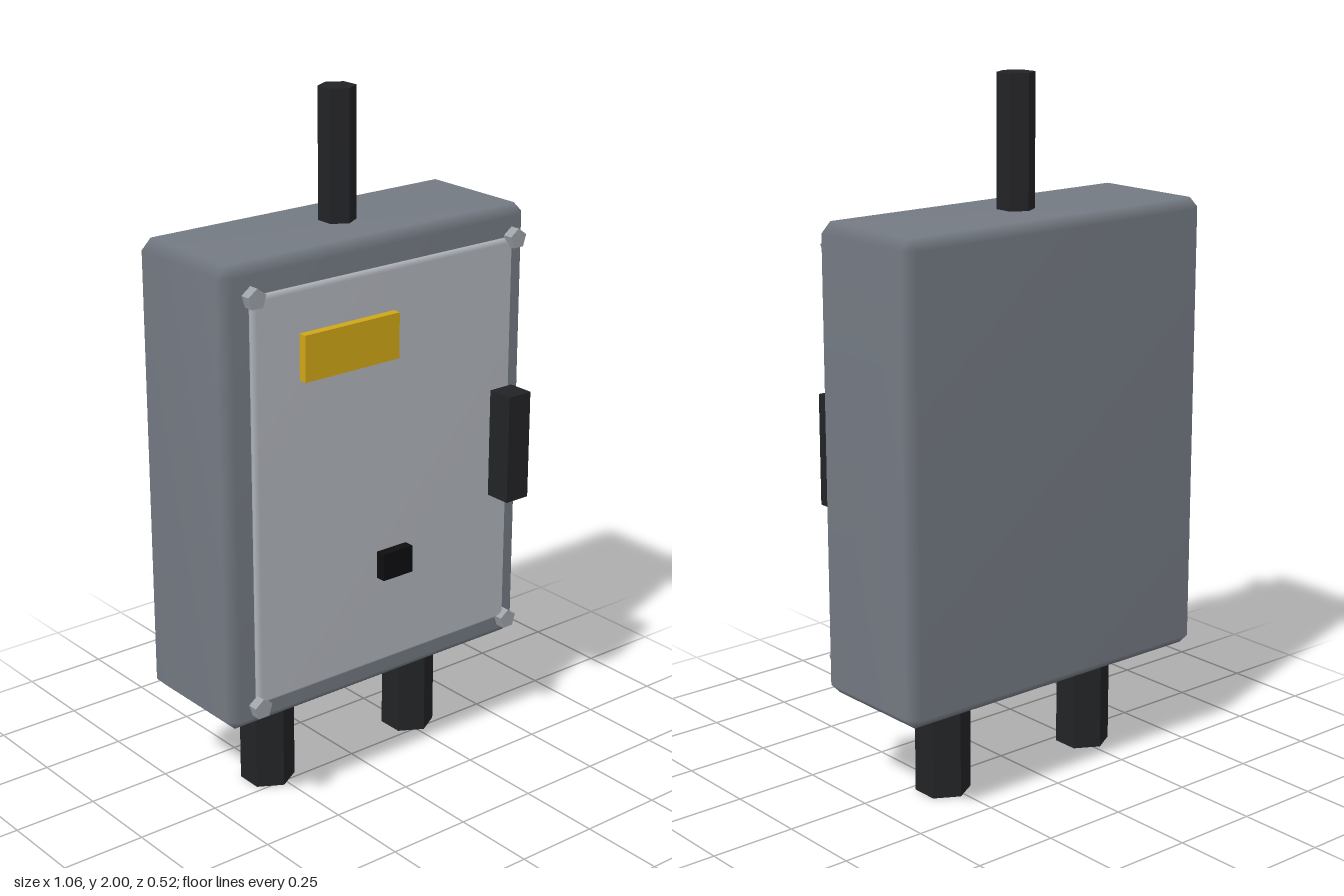
import * as THREE from 'three';
import { mergeVertices } from 'three/addons/utils/BufferGeometryUtils.js';
import { ConvexGeometry } from 'three/addons/geometries/ConvexGeometry.js';

const mat = (color, flatShading = false) => new THREE.MeshStandardMaterial({ color, flatShading });

const steel = mat(0x747a83);
const doorGrey = mat(0xb0b4bb);
const boltGrey = mat(0x9da2a8, true);
const black = mat(0x222326, true);
const darkest = mat(0x0e0e10);
const yellow = mat(0xd0a618);

// Box with every edge cut at 45 degrees; area-weighted normals soften the bevels
function chamferBox(w, h, d, c) {
  const points = [];
  for (const sx of [-1, 1]) for (const sy of [-1, 1]) for (const sz of [-1, 1]) {
    const x = sx * w / 2, y = sy * h / 2, z = sz * d / 2;
    points.push(
      new THREE.Vector3(x, y - sy * c, z - sz * c),
      new THREE.Vector3(x - sx * c, y, z - sz * c),
      new THREE.Vector3(x - sx * c, y - sy * c, z)
    );
  }
  const hull = new ConvexGeometry(points);
  hull.deleteAttribute('normal');
  const geometry = mergeVertices(hull, 1e-4);
  geometry.computeVertexNormals();
  return geometry;
}

export function createModel() {
  const model = new THREE.Group();
  model.name = 'electricalCabinet';

  function add(name, geometry, material, x, y, z) {
    const mesh = new THREE.Mesh(geometry, material);
    mesh.name = name;
    mesh.position.set(x, y, z);
    model.add(mesh);
    return mesh;
  }

  // Housing and raised door
  add('housing', chamferBox(1.06, 1.33, 0.396, 0.03), steel, 0, 0.965, -0.062);
  add('door', chamferBox(0.91, 1.17, 0.03, 0.012), doorGrey, 0, 0.962, 0.147);

  // Five-sided bolts at the door corners
  const bolt = new THREE.CylinderGeometry(0.03, 0.03, 0.03, 5).rotateX(-Math.PI / 2);
  for (const x of [-0.453, 0.453]) {
    for (const y of [0.375, 1.547]) add('doorBolt', bolt, boltGrey, x, y, 0.165);
  }

  // Door fittings
  add('warningPlate', new THREE.BoxGeometry(0.32, 0.13, 0.025), yellow, -0.16, 1.365, 0.193);
  add('handle', new THREE.BoxGeometry(0.08, 0.32, 0.08), black, 0.4, 0.96, 0.22);
  add('lock', new THREE.BoxGeometry(0.104, 0.08, 0.03), darkest, 0, 0.695, 0.193);

  // Hexagonal conduits below and above
  for (const x of [-0.267, 0.267]) {
    add('lowerConduit', new THREE.CylinderGeometry(0.079, 0.079, 0.32, 6), black, x, 0.16, -0.06);
  }
  add('upperConduit', new THREE.CylinderGeometry(0.053, 0.053, 0.4, 6), black, 0, 1.8, -0.062);

  return model;
}
